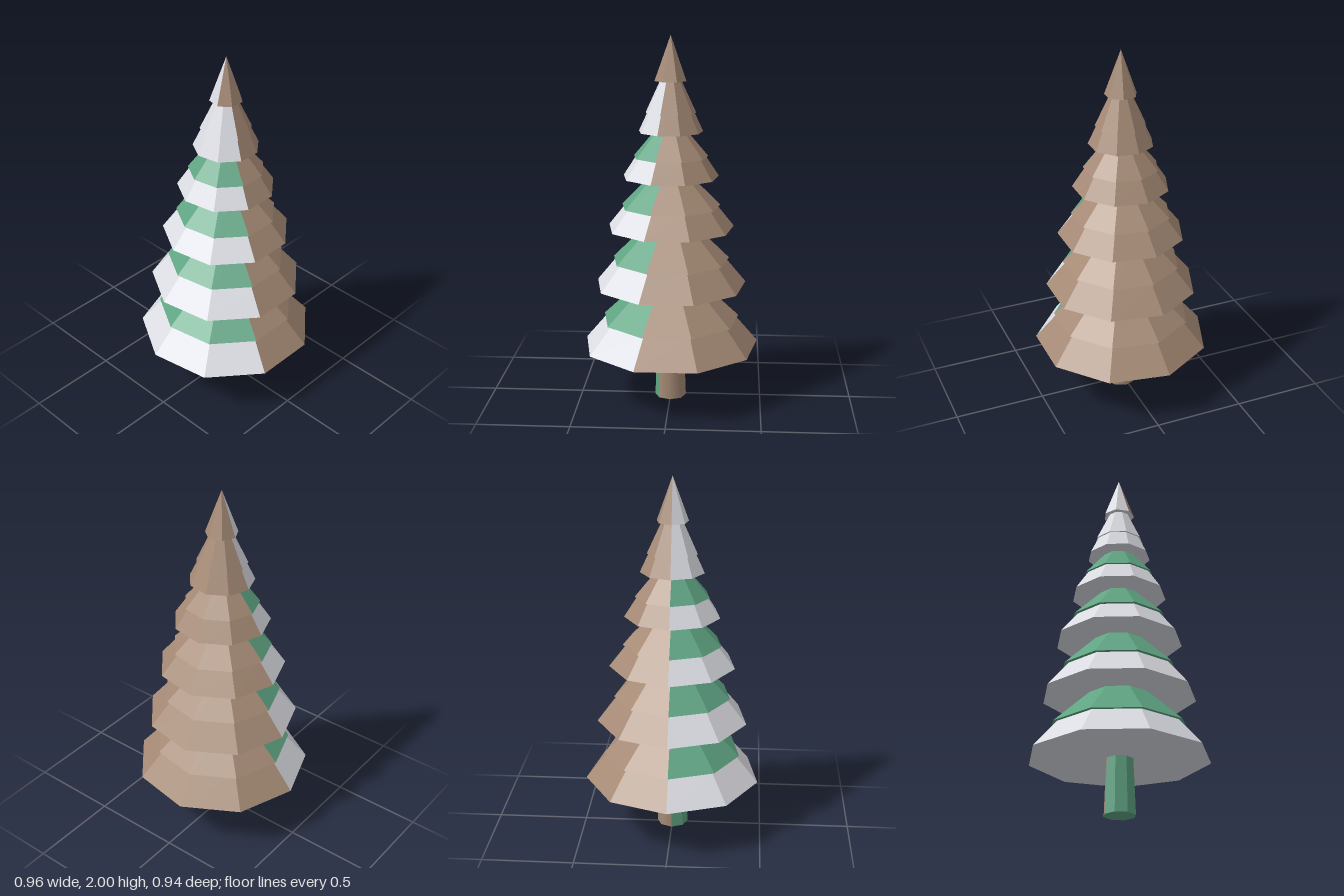
import * as THREE from 'three';

const snow = new THREE.MeshStandardMaterial({ name: 'snow white', color: 0xdcdde3 });
const needle = new THREE.MeshStandardMaterial({ name: 'needle green', color: 0x5fa483 });
const bark = new THREE.MeshStandardMaterial({ name: 'bark brown', color: 0xa58a75 });

// Tiers: base height, top height, base radius, top radius, colour of the left-hand sector
const tiers = [
  [0.30, 0.45, 0.487, 0.36, snow],
  [0.45, 0.645, 0.38, 0.175, needle],
  [0.645, 0.785, 0.417, 0.302, snow],
  [0.785, 0.965, 0.323, 0.142, needle],
  [0.965, 1.085, 0.347, 0.252, snow],
  [1.085, 1.245, 0.271, 0.113, needle],
  [1.245, 1.355, 0.262, 0.19, snow],
  [1.355, 1.49, 0.203, 0.09, needle],
  [1.49, 1.59, 0.175, 0.128, snow],
  [1.59, 1.76, 0.137, 0.058, snow],
];

// A run of faces of an open cone, counted from the back corner around the -x side
function sector(name, material, y0, y1, r0, r1, sides, first, count, flat = true) {
  const step = (Math.PI * 2) / sides;
  let geo = new THREE.CylinderGeometry(r1, r0, y1 - y0, count, 1, true, Math.PI + first * step, count * step);
  if (flat) {
    geo = geo.toNonIndexed();
    geo.computeVertexNormals();
  }
  geo.translate(0, (y0 + y1) / 2, 0);
  const mesh = new THREE.Mesh(geo, material);
  mesh.name = name;
  return mesh;
}

// Flat underside with a corner at the back
function underside(name, material, y, r, sides) {
  const geo = new THREE.CircleGeometry(r, sides, -Math.PI / 2);
  geo.rotateX(Math.PI / 2).translate(0, y, 0);
  const mesh = new THREE.Mesh(geo, material);
  mesh.name = name;
  return mesh;
}

// Closed cone in two colours: `painted` faces in one colour, the rest bark brown
function twoToneCone(name, material, y0, y1, r0, r1, sides, painted, smoothBark = false) {
  const group = new THREE.Group();
  group.name = name;
  group.add(
    sector(name + 'Painted', material, y0, y1, r0, r1, sides, 0, painted),
    sector(name + 'Brown', bark, y0, y1, r0, r1, sides, painted, sides - painted, !smoothBark),
    underside(name + 'Underside', material, y0, r0, sides)
  );
  return group;
}

export function createModel() {
  const tree = new THREE.Group();
  tree.name = 'snowyFirTree';

  // Eight-sided trunk
  const trunk = twoToneCone('trunk', needle, 0, 0.30, 0.086, 0.074, 8, 3, true);
  trunk.position.z = 0.015;
  tree.add(trunk);

  // Nine-sided branch tiers and a seven-sided tip
  const crown = new THREE.Group();
  crown.name = 'crown';
  crown.position.z = 0.012;
  tiers.forEach(([y0, y1, r0, r1, material], i) => {
    crown.add(twoToneCone('branchTier' + (i + 1), material, y0, y1, r0, r1, 9, 4));
  });
  crown.add(twoToneCone('treeTip', snow, 1.76, 2, 0.087, 0, 7, 2));
  tree.add(crown);

  return tree;
}
